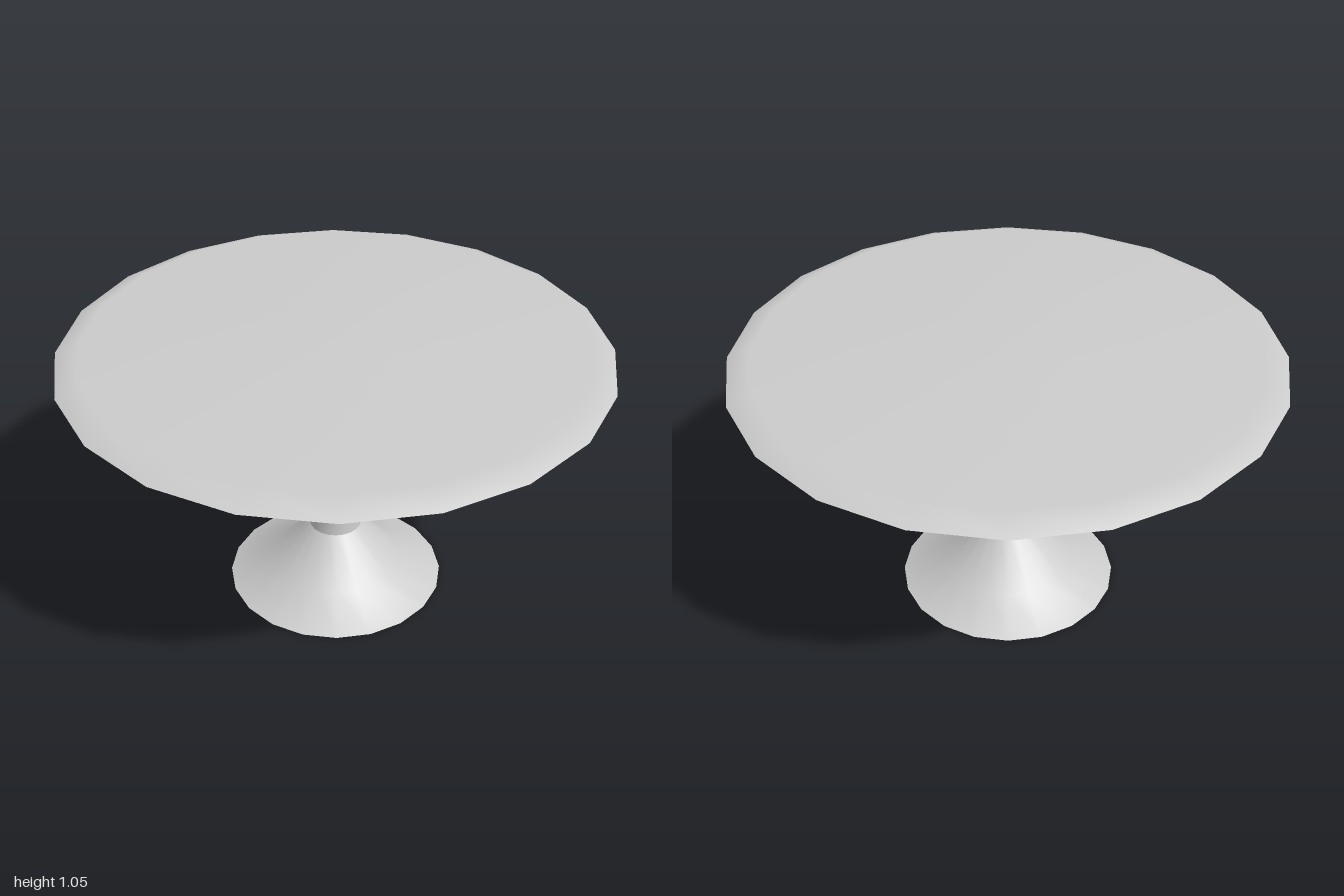
import * as THREE from 'three';

const SIDES = 20;

export function createModel() {
  const group = new THREE.Group();
  group.name = 'pedestalTable';
  const material = new THREE.MeshStandardMaterial({ color: 0xcccccc, side: THREE.DoubleSide });

  // Each part is a turned shell, its profile given as [radius, height] from bottom to top
  const addTurned = (name, profile) => {
    const points = profile.map(([r, y]) => new THREE.Vector2(r, y));
    const mesh = new THREE.Mesh(new THREE.LatheGeometry(points, SIDES), material);
    mesh.name = name;
    group.add(mesh);
  };

  // Flared foot, open underneath
  addTurned('foot', [[0.415, 0], [0.245, 0.08], [0.1, 0.24]]);

  // Waisted stem widening up to the top
  addTurned('stem', [[0.1, 0.24], [0.087, 0.37], [0.127, 0.57], [0.314, 0.86]]);

  // Conical underside of the tabletop
  addTurned('tabletopUnderside', [[0.314, 0.86], [1, 1]]);

  // Bevelled rim and slightly domed surface
  addTurned('tabletop', [[1, 1], [0.91, 1.04], [0, 1.054]]);

  return group;
}
